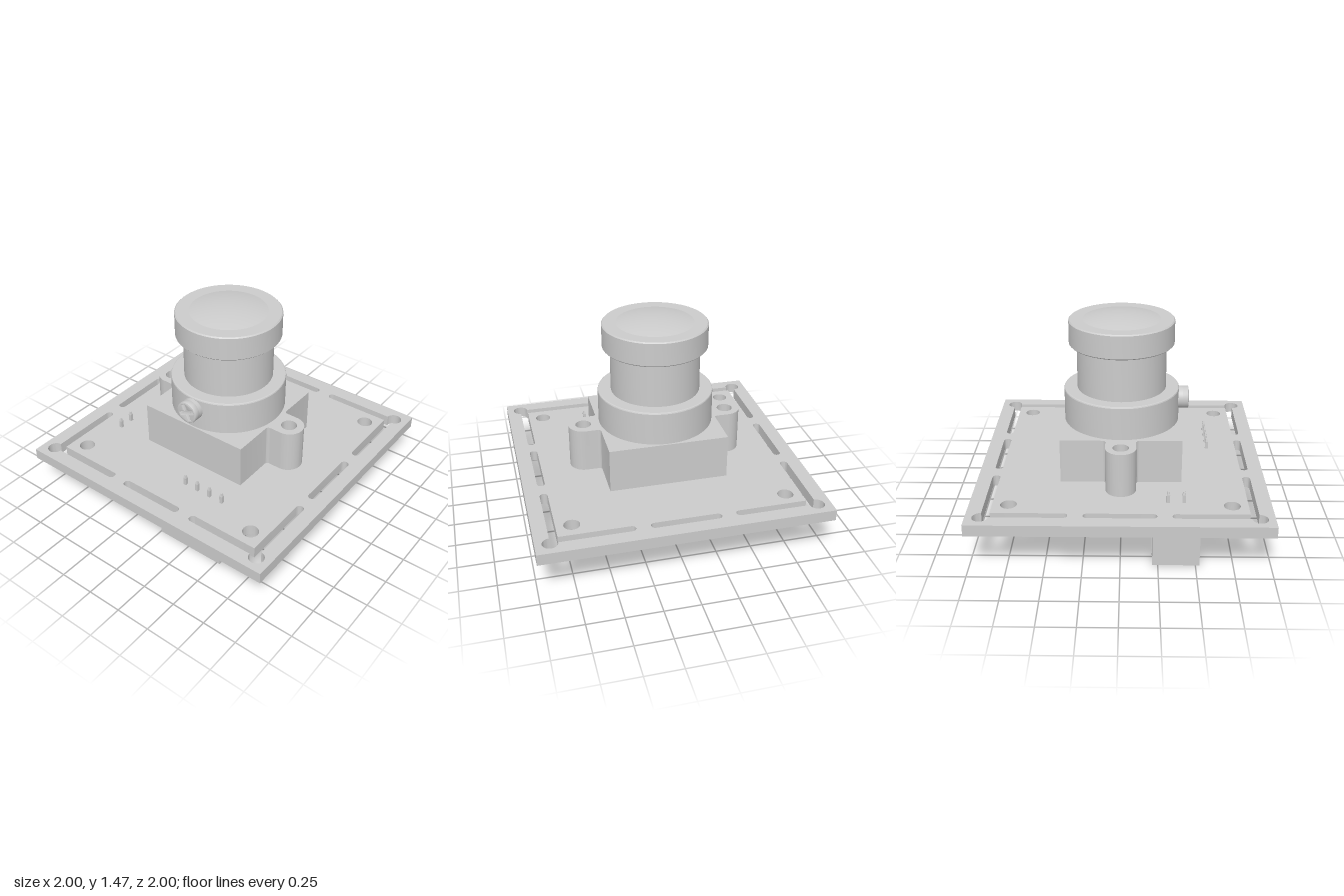
import * as THREE from 'three';
import { toCreasedNormals } from 'three/addons/utils/BufferGeometryUtils.js';

const grey = new THREE.MeshStandardMaterial({ color: 0xcccccc });
const V = (x, y) => new THREE.Vector2(x, y);

function add(parent, name, geo, x = 0, y = 0, z = 0) {
  const m = new THREE.Mesh(geo, grey);
  m.name = name;
  m.position.set(x, y, z);
  parent.add(m);
  return m;
}

function extrude(shape, depth, extra = {}) {
  const g = new THREE.ExtrudeGeometry(shape, { depth, bevelEnabled: false, curveSegments: 20, ...extra });
  return toCreasedNormals(g, 0.5);
}

// Extrude a plan shape upwards
const slab = (shape, height) => extrude(shape, height).rotateX(-Math.PI / 2);

const circle = (x, y, r) => new THREE.Path().absarc(x, y, r, 0, Math.PI * 2);

const lathe = (pts) =>
  toCreasedNormals(new THREE.LatheGeometry(pts.map(([r, y]) => V(r, y)), 64), 0.4);

// Circuit board with round holes, middle slots and L-shaped corner slots
function boardGeometry() {
  const s = new THREE.Shape([V(-1, -1), V(1, -1), V(1, 1), V(-1, 1)]);
  const a = 0.845, b = 0.9, c = (a + b) / 2, r = (b - a) / 2, P = Math.PI;

  const corner = new THREE.Path();
  corner.moveTo(a, a);
  corner.lineTo(0.367, a);
  corner.absarc(0.367, c, r, -P / 2, P / 2, true);
  corner.absarc(b, b, 0.053, P, -P / 2, true);
  corner.lineTo(b, 0.367);
  corner.absarc(c, 0.367, r, 0, -P, true);
  const cornerPts = corner.getPoints(12);

  const slot = new THREE.Path();
  slot.absarc(0.213, c, r, -P / 2, P / 2);
  slot.absarc(-0.213, c, r, P / 2, P * 1.5);
  const slotPts = slot.getPoints(10);

  for (const sx of [-1, 1]) {
    for (const sy of [-1, 1]) {
      s.holes.push(new THREE.Path(cornerPts.map((p) => V(p.x * sx, p.y * sy))));
      s.holes.push(circle(0.737 * sx, 0.737 * sy, 0.055));
    }
    s.holes.push(new THREE.Path(slotPts.map((p) => V(p.x, p.y * sx))));
    s.holes.push(new THREE.Path(slotPts.map((p) => V(p.y * sx, p.x))));
  }
  return slab(s, 0.08);
}

// Square holder block with a rounded screw ear on both sides
function holderGeometry() {
  const s = new THREE.Shape();
  const w = 0.418, e = 0.105, f = 0.025;
  s.moveTo(-w, -w);
  s.lineTo(w, -w);
  s.lineTo(w, -e - f);
  s.quadraticCurveTo(w, -e, w + f, -e);
  s.absarc(0.525, 0, e, -Math.PI / 2, Math.PI / 2);
  s.lineTo(w + f, e);
  s.quadraticCurveTo(w, e, w, e + f);
  s.lineTo(w, w);
  s.lineTo(-w, w);
  s.lineTo(-w, e + f);
  s.quadraticCurveTo(-w, e, -w - f, e);
  s.absarc(-0.525, 0, e, Math.PI / 2, Math.PI * 1.5);
  s.lineTo(-w - f, -e);
  s.quadraticCurveTo(-w, -e, -w, -e - f);
  s.holes.push(circle(0.525, 0, 0.055), circle(-0.525, 0, 0.055));
  return slab(s, 0.315);
}

// Cross-recessed screw head facing +z, its base at z = 0
function screwHead(name, r, height, arm, angle) {
  const g = new THREE.Group();
  g.name = name;
  const s = new THREE.Shape().absarc(0, 0, r, 0, Math.PI * 2);
  const t = r * 0.17, cross = [];
  for (let i = 0; i < 4; i++) {
    for (const [x, y] of [[arm, -t * 0.8], [arm, t * 0.8], [t, t]]) {
      cross.push(V(x, y).rotateAround(V(0, 0), angle + (i * Math.PI) / 2));
    }
  }
  s.holes.push(new THREE.Path(cross));
  const b = 0.008;
  add(g, 'screwRim', extrude(s, height * 0.6 - 2 * b, {
    bevelEnabled: true, bevelThickness: b, bevelSize: b, bevelOffset: -b, bevelSegments: 2,
  }), 0, 0, height * 0.4 + b);
  add(g, 'screwCore', new THREE.CylinderGeometry(r, r, height * 0.5, 40).rotateX(Math.PI / 2), 0, 0, height * 0.25);
  return g;
}

// Pin header socket: open below, slotted wall facing -z, pin row on z = 0
function connector(name, pins) {
  const g = new THREE.Group();
  g.name = name;
  const pitch = 0.104, top = 0.312, wall = 0.03;
  const h = (0.21 + pitch * (pins - 1)) / 2, w = h - 0.115;
  const pinX = Array.from({ length: pins }, (_, i) => (i - (pins - 1) / 2) * pitch);

  // Small recesses above each pin, listed from +x to -x
  const recesses = [...pinX].reverse().flatMap((x) => [
    V(x + 0.045, top), V(x + 0.045, 0.285), V(x - 0.045, 0.285), V(x - 0.045, top)]);
  const mirrored = (half) => new THREE.Shape(
    [...half, ...recesses, ...half.map((p) => V(-p.x, p.y)).reverse()]);

  const slotted = mirrored([
    V(w, 0.215), V(w, 0), V(h, 0), V(h, top), V(h - 0.025, top),
    V(h - 0.025, 0.08), V(h - 0.055, 0.08), V(h - 0.055, top)]);
  add(g, 'slottedWall', extrude(slotted, wall), 0, 0, -0.09);
  add(g, 'solidWall', extrude(mirrored([V(h, 0), V(h, top)]), wall), 0, 0, 0.13);
  add(g, 'socketFloor', new THREE.BoxGeometry(2 * h - 0.05, 0.097, 0.19), 0, 0.2635, 0.035);

  const end = new THREE.Shape([
    V(-0.13, 0), V(-0.033, 0), V(-0.033, 0.12), V(0.033, 0.12),
    V(0.033, 0), V(0.06, 0), V(0.06, top), V(-0.13, top)]);
  const endGeo = extrude(end, 0.025).rotateY(Math.PI / 2);
  add(g, 'endWall', endGeo, h - 0.025);
  add(g, 'endWall', endGeo, -h);

  // Square pins with tapered tips, through the board
  const q = 0.011, k = 0.005;
  const pinGeo = toCreasedNormals(new THREE.LatheGeometry(
    [[0, 0.05], [k, 0.05], [q, 0.075], [q, 0.445], [k, 0.47], [0, 0.47]]
      .map(([r, y]) => V(r * Math.SQRT2, y)), 4).rotateY(Math.PI / 4), 0.2);
  for (const x of pinX) add(g, 'pin', pinGeo, x);
  return g;
}

export function createModel() {
  const model = new THREE.Group();
  model.name = 'cameraModule';

  add(model, 'circuitBoard', boardGeometry(), 0, 0.31);
  add(model, 'lensHolder', holderGeometry(), 0, 0.39);

  // Lens: clamp ring, barrel, cap and domed glass
  add(model, 'clampRing', lathe([
    [0, 0.7], [0.407, 0.7], [0.407, 0.935], [0.404, 0.942], [0.397, 0.945], [0, 0.945]]));
  add(model, 'lensBarrel', lathe([[0.314, 0.94], [0.314, 1.27]]));
  add(model, 'lensCap', lathe([
    [0, 1.265], [0.36, 1.265], [0.368, 1.273], [0.368, 1.432], [0.36, 1.44], [0, 1.44]]));
  const dome = [];
  for (let i = 0; i <= 10; i++) {
    const r = 0.27 * (1 - i / 10);
    dome.push([r, 1.44 + 0.032 * (1 - (r / 0.27) ** 2)]);
  }
  add(model, 'lensGlass', lathe(dome));

  // Focus locking screw on the front of the ring
  const lock = screwHead('lockScrew', 0.08, 0.085, 0.06, 0.45);
  lock.position.set(0, 0.855, 0.39);
  model.add(lock);

  // Screws from below into the holder ears
  for (const side of [-1, 1]) {
    const screw = screwHead('mountScrew', 0.1, 0.075, 0.078, 0);
    screw.position.set(side * 0.525, 0.312, 0);
    screw.rotation.x = Math.PI / 2;
    model.add(screw);
    add(model, 'screwShaft', new THREE.CylinderGeometry(0.054, 0.054, 0.27, 32), side * 0.525, 0.475);
  }

  // Sockets under the board
  const four = connector('fourPinSocket', 4);
  four.position.set(0.264, 0, 0.632);
  const two = connector('twoPinSocket', 2);
  two.position.set(-0.69, 0, 0.37);
  two.rotation.y = -Math.PI / 2;
  model.add(four, two);

  return model;
}
